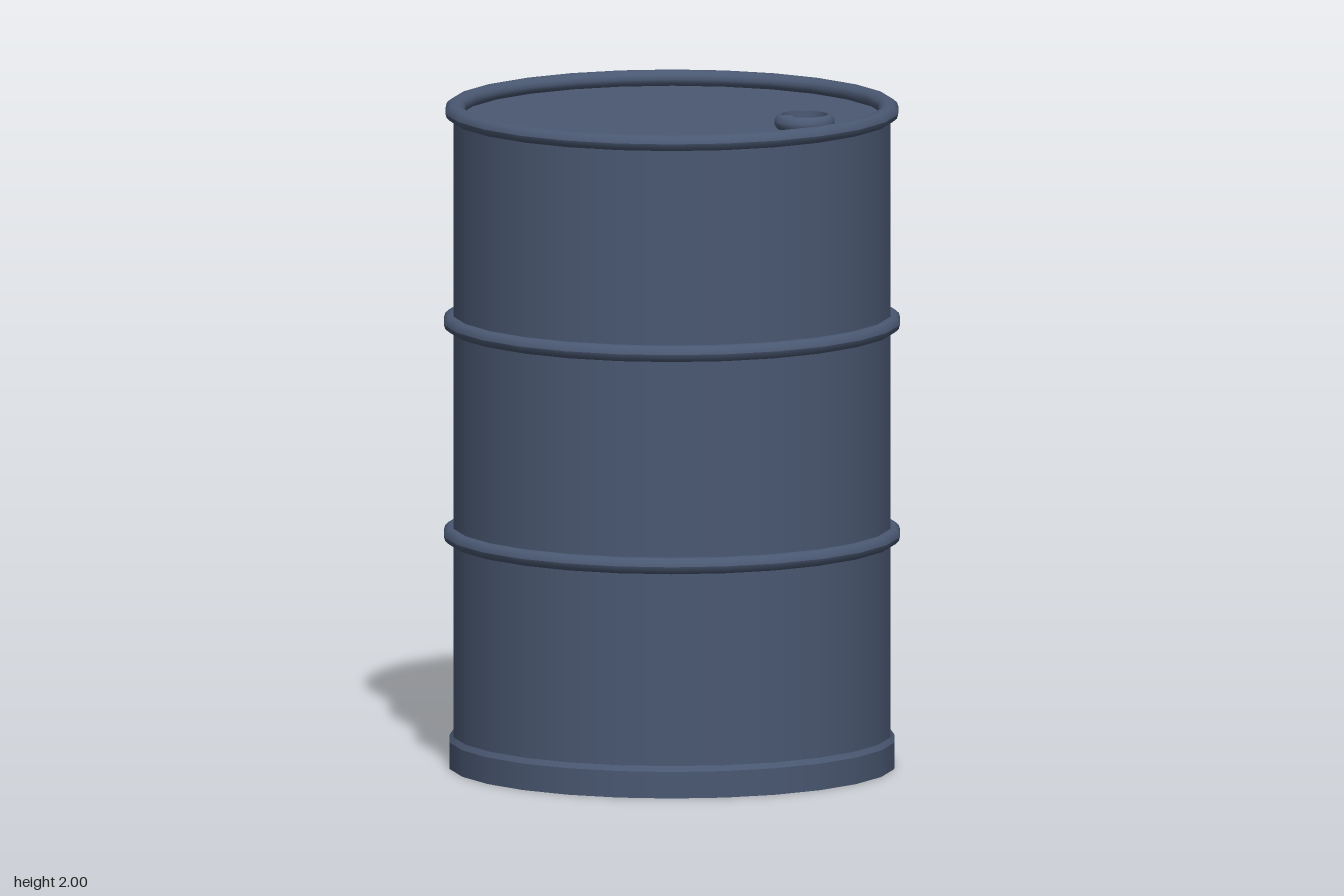
import * as THREE from 'three';

const SIDES = 26;

export function createModel() {
  const paint = new THREE.MeshStandardMaterial({ color: 0x4a5872 });
  paint.name = 'slate blue paint';
  const drum = new THREE.Group();
  drum.name = 'drum';

  const add = (parent, name, geometry) => {
    const mesh = new THREE.Mesh(geometry, paint);
    mesh.name = name;
    parent.add(mesh);
    return mesh;
  };
  const lathe = (points, sides = SIDES) =>
    new THREE.LatheGeometry(points.map(([r, y]) => new THREE.Vector2(r, y)), sides);

  // Revolved profile whose every corner stays sharp
  const sharpLathe = (parent, name, points, sides) => {
    const part = new THREE.Group();
    part.name = name;
    for (let i = 0; i < points.length - 1; i++) {
      add(part, `${name}Face${i + 1}`, lathe([points[i], points[i + 1]], sides));
    }
    parent.add(part);
  };

  // Rounded hoop with an elliptical section
  const hoop = (name, radius, y, rx, ry) => {
    const section = [];
    for (let i = 0; i <= 12; i++) {
      const a = (i / 12) * Math.PI * 2;
      section.push([radius + rx * Math.cos(a), y + ry * Math.sin(a)]);
    }
    add(drum, name, lathe(section));
  };

  // Shell, lid and recessed floor
  add(drum, 'body', lathe([[0.657, 0.02], [0.657, 1.975]]));
  add(drum, 'lid', lathe([[0.64, 1.953], [0, 1.953]]));
  add(drum, 'floor', lathe([[0, 0.02], [0.652, 0.02]]));

  // Foot band with a bevelled upper edge
  sharpLathe(drum, 'footBand', [
    [0.65, 0.02], [0.65, 0], [0.668, 0], [0.668, 0.08], [0.657, 0.096],
  ]);

  // Rolling hoops and top rim
  hoop('lowerHoop', 0.657, 0.7, 0.028, 0.025);
  hoop('upperHoop', 0.657, 1.34, 0.028, 0.025);
  hoop('topRim', 0.65, 1.975, 0.03, 0.025);

  // Filler cap: rounded collar around a shallow well, with a small latch
  const cap = new THREE.Group();
  cap.name = 'fillerCap';
  cap.position.set(0.447, 1.953, 0);
  add(cap, 'collar', lathe([
    [0.082, 0], [0.09, 0.012], [0.09, 0.024], [0.084, 0.036], [0.076, 0.042], [0.069, 0.042],
  ]));
  add(cap, 'collarWall', lathe([[0.069, 0.042], [0.067, 0.012]]));
  add(cap, 'wellFloor', lathe([[0.068, 0.012], [0, 0.012]]));
  const latch = add(cap, 'latch', new THREE.CapsuleGeometry(0.011, 0.024, 4, 10));
  latch.rotation.z = Math.PI / 2;
  latch.position.set(-0.053, 0.026, 0.008);
  drum.add(cap);

  return drum;
}
